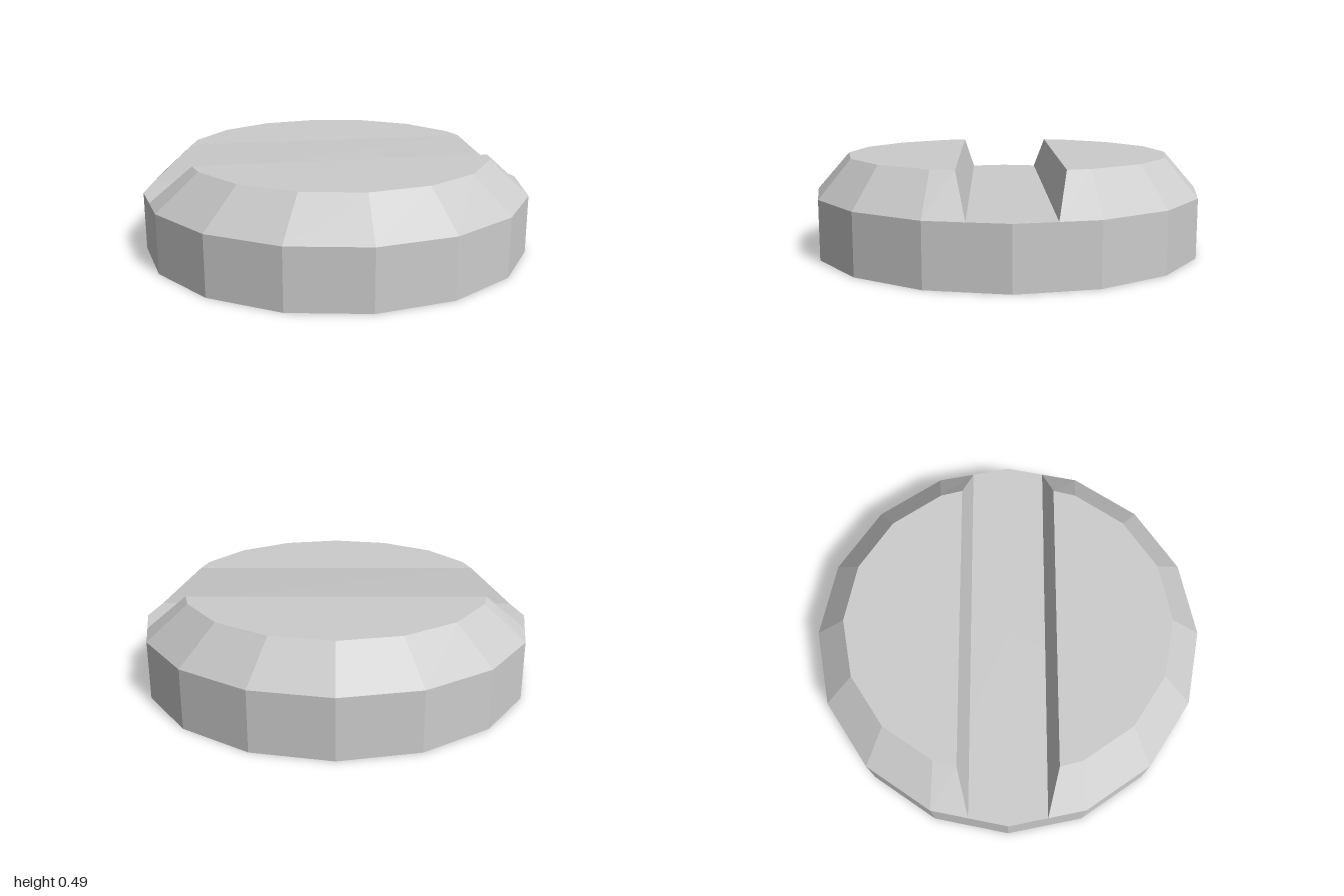
import * as THREE from 'three';

const SIDES = 16, BASE_HEIGHT = 0.3, TOP = 0.49;

// Half of the bevelled head: lower outline on the rim, upper outline drawn inwards
function headHalfGeometry() {
  const lower = [[0.961, 0.195]];
  for (let i = 1; i < SIDES / 2; i++) {
    const a = (i / SIDES) * Math.PI * 2;
    lower.push([Math.cos(a), Math.sin(a)]);
  }
  lower.push([-0.961, 0.195]);

  const last = lower.length - 1;
  const bottom = lower.map(([x, z]) => [x, BASE_HEIGHT, z]);
  const top = lower.map(([x, z], i) =>
    [x * 0.775, TOP, i === 0 || i === last ? 0.245 : z * 0.77 + 0.064]);

  const positions = [];
  const triangle = (...corners) => corners.forEach((c) => positions.push(...c));

  // Bevelled sides, with the sloping slot wall closing the loop
  for (let i = 0; i <= last; i++) {
    const j = (i + 1) % lower.length;
    triangle(bottom[i], top[i], bottom[j]);
    triangle(top[i], top[j], bottom[j]);
  }
  // Flat top
  for (let i = 1; i < last; i++) triangle(top[0], top[i + 1], top[i]);

  const geometry = new THREE.BufferGeometry();
  geometry.setAttribute('position', new THREE.Float32BufferAttribute(positions, 3));
  geometry.computeVertexNormals();
  return geometry;
}

export function createModel() {
  const group = new THREE.Group();
  group.name = 'slottedScrewHead';

  const steel = new THREE.MeshStandardMaterial({ color: 0xcccccc, flatShading: true });
  steel.name = 'light grey steel';

  // Round base, whose top is the slot floor
  const base = new THREE.Mesh(new THREE.CylinderGeometry(1, 1, BASE_HEIGHT, SIDES), steel);
  base.name = 'base';
  base.position.y = BASE_HEIGHT / 2;
  group.add(base);

  // Two matching halves either side of the slot
  const half = headHalfGeometry();
  ['frontHeadHalf', 'backHeadHalf'].forEach((name, i) => {
    const mesh = new THREE.Mesh(half, steel);
    mesh.name = name;
    mesh.rotation.y = i * Math.PI;
    group.add(mesh);
  });

  return group;
}
